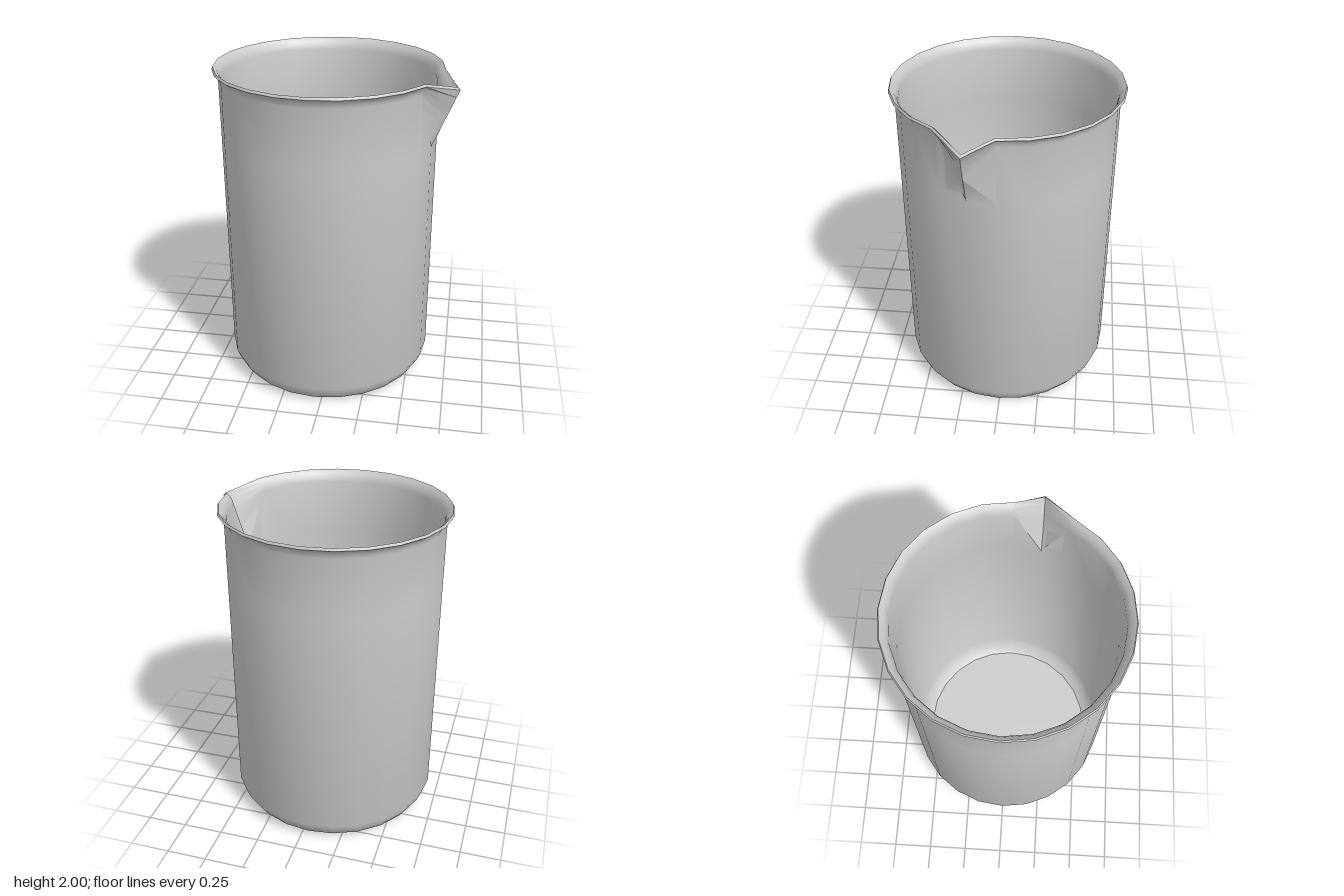
import * as THREE from 'three';
import { toCreasedNormals } from 'three/addons/utils/BufferGeometryUtils.js';

const SIDES = 24;
const SPOUT_COLUMN = 5;            // lathe column at 75 degrees, just to the front of +x
const SPOUT_BASE = 1.58;           // height where the spout leaves the wall

// Thin wall: [radius, height, how far this row is pulled into the spout]
const outside = [
  [0, 0, 0], [0.565, 0, 0], [0.605, 0.025, 0], [0.635, 0.07, 0], [0.655, 0.12, 0],
  [0.655, SPOUT_BASE, 0], [0.655, 1.93, 0.5], [0.66, 1.95, 0.7],
  [0.672, 1.972, 0.87], [0.69, 1.985, 1],
];
const inside = [
  [0.683, 2, 1], [0.66, 1.98, 0.87], [0.647, 1.955, 0.7], [0.64, 1.93, 0.5],
  [0.64, SPOUT_BASE, 0], [0.64, 0.12, 0], [0.62, 0.08, 0], [0.595, 0.04, 0],
  [0.565, 0.015, 0], [0, 0.015, 0],
];

function createVessel() {
  const rows = [...outside, ...inside];
  const geometry = new THREE.LatheGeometry(rows.map(([r, y]) => new THREE.Vector2(r, y)), SIDES);

  // Pull one column of the wall outwards and down to form the pouring spout
  const position = geometry.attributes.position;
  rows.forEach(([, , pull], j) => {
    if (pull === 0) return;
    const isInside = j >= outside.length;
    const radius = (isInside ? 0.64 : 0.655) + 0.143 * pull;
    const y = SPOUT_BASE + (isInside ? 0.36 : 0.345) * pull;
    const angle = THREE.MathUtils.degToRad(15 - 2.7 * pull);
    position.setXYZ(SPOUT_COLUMN * rows.length + j,
      radius * Math.cos(angle), y, radius * Math.sin(angle));
  });

  // Smooth walls, sharp base edge and lip
  return toCreasedNormals(geometry, 0.55);
}

export function createModel() {
  const group = new THREE.Group();
  group.name = 'beaker';

  const vessel = new THREE.Mesh(
    createVessel(),
    new THREE.MeshStandardMaterial({ color: 0xcccccc, side: THREE.DoubleSide }),
  );
  vessel.name = 'vesselWithSpout';
  vessel.position.x = -0.045;      // centre the overall width including the spout
  group.add(vessel);

  return group;
}
